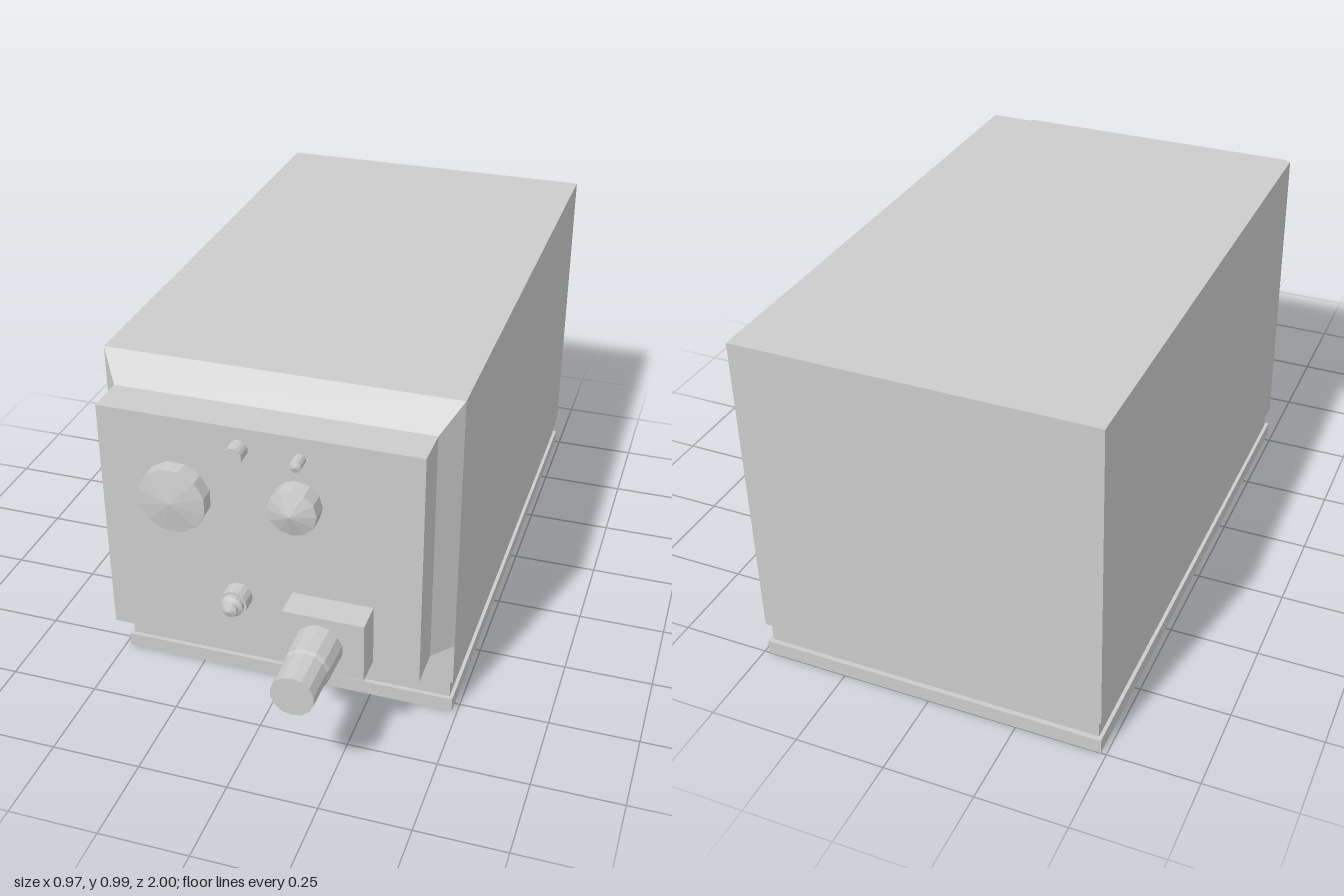
import * as THREE from 'three';

const material = new THREE.MeshStandardMaterial({ color: 0xcccccc, flatShading: true });

function add(group, name, geometry) {
  const mesh = new THREE.Mesh(geometry, material);
  mesh.name = name;
  group.add(mesh);
  return mesh;
}

// Box given by its limits on each axis
function box(group, name, [x0, x1], [y0, y1], [z0, z1]) {
  const geometry = new THREE.BoxGeometry(x1 - x0, y1 - y0, z1 - z0);
  geometry.translate((x0 + x1) / 2, (y0 + y1) / 2, (z0 + z1) / 2);
  return add(group, name, geometry);
}

// Turned part pointing forward; profile holds [radius, z] pairs
function turned(group, name, x, y, profile, sides = 12, phase = 0) {
  const points = profile.map(([r, z]) => new THREE.Vector2(r, z));
  const geometry = new THREE.LatheGeometry(points, sides, phase);
  geometry.rotateX(Math.PI / 2);
  geometry.translate(x, y, 0);
  return add(group, name, geometry);
}

export function createModel() {
  const model = new THREE.Group();
  model.name = 'controlUnit';
  const face = 0.708;

  // Housing on a grooved plinth
  box(model, 'basePlate', [-0.485, 0.485], [0, 0.042], [-1, 0.535]);
  box(model, 'baseGroove', [-0.475, 0.475], [0.042, 0.102], [-0.987, 0.523]);
  box(model, 'housing', [-0.485, 0.485], [0.102, 0.985], [-1, 0.535]);

  // Bevel: front corners pulled in to the panel outline, bottom stays level
  const bevel = box(model, 'frontBevel', [-0.485, 0.485], [0.23, 0.985], [0.535, 0.597]);
  const p = bevel.geometry.attributes.position;
  for (let i = 0; i < p.count; i++) {
    if (p.getZ(i) < 0.56) continue;
    p.setX(i, Math.sign(p.getX(i)) * 0.433);
    if (p.getY(i) > 0.5) p.setY(i, 0.911);
  }
  bevel.geometry.computeVertexNormals();
  box(model, 'frontPanel', [-0.433, 0.433], [0.23, 0.911], [0.597, face]);

  // Knobs with shallow pointed caps
  turned(model, 'largeKnob', -0.222, 0.688, [[0.094, face], [0.094, 0.75], [0, 0.766]], 12, Math.PI / 12);
  turned(model, 'smallKnob', 0.106, 0.72, [[0.066, face], [0.066, 0.755], [0, 0.777]]);

  // Button and indicator
  turned(model, 'button', -0.048, 0.852, [[0.025, face], [0.025, 0.753], [0, 0.753]], 16);
  turned(model, 'indicator', 0.114, 0.852, [[0.016, face], [0.016, 0.748], [0, 0.754]], 10);

  // Stepped socket
  turned(model, 'socket', -0.063, 0.4, [
    [0.038, face], [0.038, 0.752], [0.031, 0.752], [0.031, 0.764],
    [0.021, 0.77], [0.021, 0.78], [0, 0.789],
  ], 16);

  // Connector block and its tapered plug
  box(model, 'connectorBlock', [0.087, 0.307], [0.268, 0.441], [face, 0.792]);
  turned(model, 'connectorPlug', 0.186, 0.353, [
    [0.065, 0.792], [0.063, 0.89], [0.059, 0.9], [0.058, 1], [0, 1],
  ], 14);

  return model;
}
